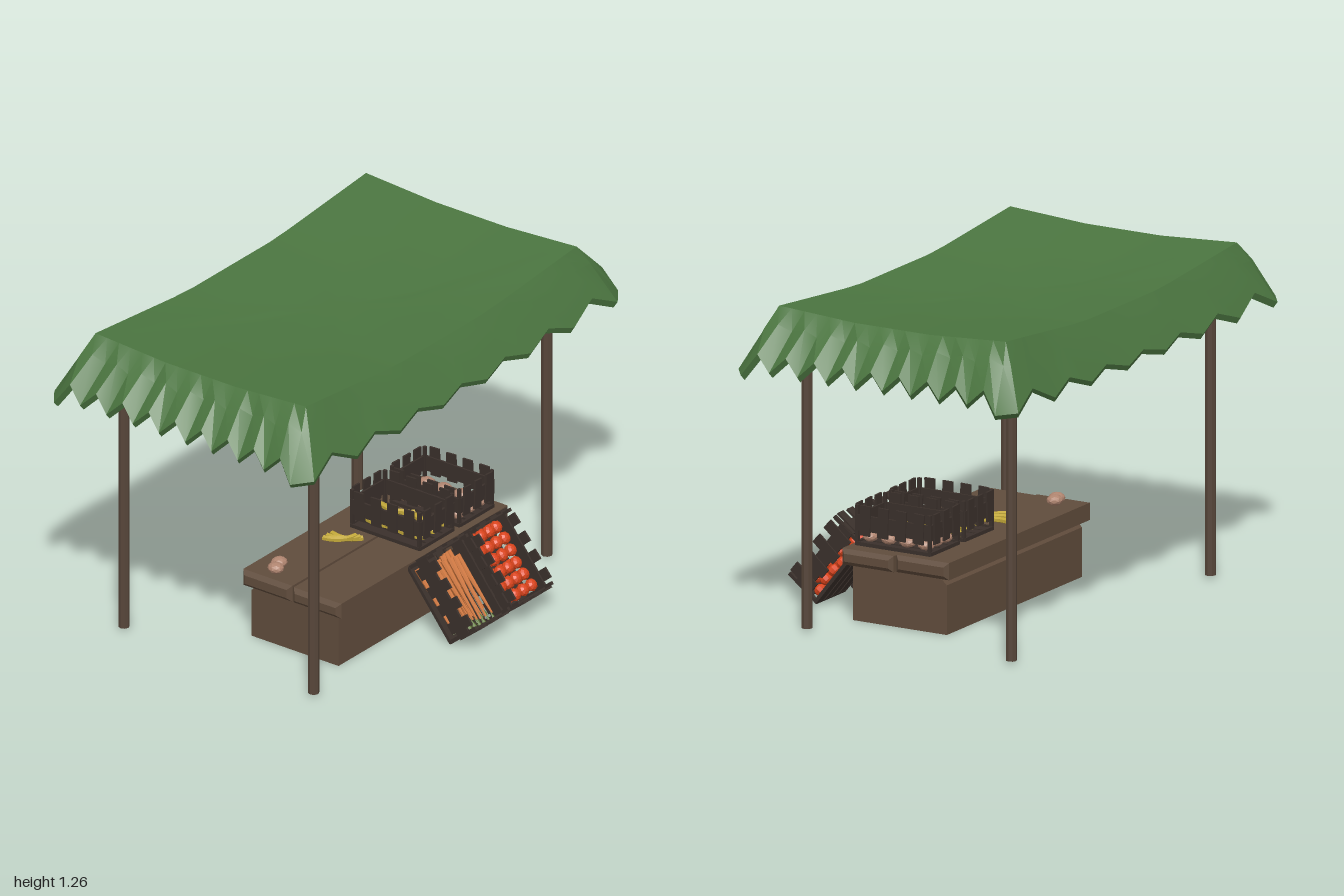
import * as THREE from 'three';
import { toCreasedNormals } from 'three/addons/utils/BufferGeometryUtils.js';

const mat = (color, opts = {}) => {
  const m = new THREE.MeshStandardMaterial({ color, flatShading: true, ...opts });
  return m;
};
const M = {
  cloth: mat(0x4b7540, { flatShading: false, side: THREE.DoubleSide }),
  post: mat(0x57463a), wood: mat(0x604c3c), base: mat(0x604c3c, { side: THREE.DoubleSide }), crate: mat(0x3a302b),
  tomato: mat(0xd9431b), carrot: mat(0xd0773d), leaf: mat(0x5f7a35),
  yellow: mat(0xc0a638), root: mat(0xb08570),
};

function add(parent, name, geo, material, x = 0, y = 0, z = 0) {
  const m = new THREE.Mesh(geo, material);
  m.name = name;
  m.position.set(x, y, z);
  parent.add(m);
  return m;
}
const box = (w, h, d) => new THREE.BoxGeometry(w, h, d);
const wobble = (i) => Math.sin(i * 12.9898 + 1.7); // repeatable variation

// Canopy: closed loops running from the sagging top, over the pleated skirt and back underneath
function canopyGeometry() {
  const HX = 0.49, HZ = 0.82, CX = -0.055;
  const g = (t) => Math.max(0, Math.abs(t) - 1 / 3) * 1.5;
  const topY = (u, v) => 1.19 + 0.02 * g(u) + 0.05 * g(v);
  const rim = [];
  for (let s = 0; s < 4; s++) {
    const front = s % 2 === 0, n = front ? 18 : 14, sign = s < 2 ? 1 : -1;
    for (let i = 0; i <= n; i++) {
      const t = (2 * i / n - 1) * sign, low = i % 2 === 0, end = i === 0 || i === n;
      const out = low ? 0 : -0.018;
      const u = front ? t : sign, v = front ? sign : -t;
      const x = front ? t * 0.55 : sign * (0.605 + out);
      const z = front ? sign * (0.995 + out) : -t * 0.92;
      const y = end ? 1.005 : front ? (low ? 1.03 : 1.09) : (low ? 1.005 : 1.035 + 0.045 * t * t);
      const crease = i % 4 === 2 ? -0.012 : 0;
      rim.push({ u, v, x, y, z, crease, front, sign });
    }
  }
  const top = (s, drop) => (p) => [s * p.u * HX, topY(s * p.u, s * p.v) - drop, s * p.v * HZ];
  const mid = (k, drop) => (p) => {
    const a = top(1, 0)(p), f = 0.4;
    const c = p.crease * p.sign;
    return [k * (a[0] + (p.x - a[0]) * f + (p.front ? 0 : c)),
      a[1] + (p.y - a[1]) * 0.3 - drop,
      k * (a[2] + (p.z - a[2]) * f + (p.front ? c : 0))];
  };
  const hem = (k, lift) => (p) => [p.x * k, p.y + lift, p.z * k];
  const rings = [top(0, 0), top(1 / 3, 0), top(2 / 3, 0), top(1, 0), mid(1, 0), hem(1, 0.02), hem(0.985, 0),
    mid(0.965, 0.02), top(0.96, 0.03), top(1 / 3, 0.02), top(0, 0.02)];
  const pos = [], idx = [], N = rim.length;
  rings.forEach((f) => rim.forEach((p) => {
    const [x, y, z] = f(p);
    pos.push(x + CX, y, z);
  }));
  for (let r = 0; r < rings.length - 1; r++) for (let i = 0; i < N; i++) {
    const a = r * N + i, b = r * N + (i + 1) % N, c = b + N, d = a + N;
    idx.push(a, d, c, a, c, b);
  }
  const geo = new THREE.BufferGeometry();
  geo.setAttribute('position', new THREE.Float32BufferAttribute(pos, 3));
  geo.setIndex(idx);
  return toCreasedNormals(geo, 0.3);
}

// Counter base: hollow box, open underneath, with one chamfered top edge
function baseGeometry() {
  const geo = new THREE.BoxGeometry(0.405, 0.22, 0.96, 1, 2, 1);
  const p = geo.attributes.position, n = geo.attributes.normal;
  for (let i = 0; i < p.count; i++) {
    if (Math.abs(p.getY(i)) < 0.01) p.setY(i, 0.08);
    if (p.getY(i) > 0.1 && p.getX(i) < 0) p.setX(i, -0.17);
  }
  const src = Array.from(geo.index.array);
  geo.setIndex(src.filter((v, k) => n.getY(src[k - k % 3]) > -0.5));
  geo.clearGroups();
  return geo;
}

// Bevelled plank lying along z
function plankGeometry(w, h, d) {
  const b = 0.016, x = w / 2 - b, y = h / 2 - b;
  const s = new THREE.Shape([[-x, -y], [x, -y], [x, y], [-x, y]].map((p) => new THREE.Vector2(...p)));
  const geo = new THREE.ExtrudeGeometry(s, { depth: d - 2 * b, bevelSize: b, bevelThickness: b, bevelSegments: 1 });
  return geo.translate(0, 0, -d / 2 + b);
}

// Crate: corner posts, a band round the sides, upright pickets and a slatted floor
function crate(name) {
  const c = new THREE.Group(), L = 0.32, W = 0.205;
  c.name = name;
  for (const sx of [-1, 1]) for (const sz of [-1, 1])
    add(c, 'cornerPost', box(0.013, 0.155, 0.013), M.crate, sx * (L / 2 - 0.004), 0.078, sz * (W / 2 - 0.004));
  for (const s of [-1, 1]) {
    add(c, 'longBand', box(L, 0.06, 0.009), M.crate, 0, 0.088, s * W / 2);
    add(c, 'shortBand', box(0.009, 0.06, W), M.crate, s * L / 2, 0.088, 0);
    add(c, 'longRail', box(L, 0.014, 0.01), M.crate, 0, 0.008, s * W / 2);
    add(c, 'shortRail', box(0.01, 0.014, W), M.crate, s * L / 2, 0.008, 0);
    for (let i = 0; i < 4; i++) {
      const m = add(c, 'longPicket', box(0.044, 0.115, 0.008), M.crate, -0.115 + i * 0.077, 0.1, s * (W / 2 + 0.006));
      m.rotation.z = 0.05 * wobble(i + s);
    }
    for (let i = 0; i < 3; i++) {
      const m = add(c, 'shortPicket', box(0.008, 0.115, 0.04), M.crate, s * (L / 2 + 0.006), 0.1, -0.066 + i * 0.066);
      m.rotation.x = 0.05 * wobble(i + s + 5);
    }
  }
  for (let i = 0; i < 4; i++) add(c, 'floorSlat', box(L, 0.007, 0.04), M.crate, 0, 0.005, -0.076 + i * 0.0507);
  return c;
}

const tomatoGeo = new THREE.SphereGeometry(0.025, 9, 6).scale(1, 0.85, 1);
const carrotGeo = new THREE.CylinderGeometry(0.013, 0.004, 0.25, 7).rotateZ(Math.PI / 2);
const leafGeo = new THREE.ConeGeometry(0.009, 0.035, 5).rotateZ(Math.PI / 2);
const rootGeo = new THREE.IcosahedronGeometry(0.03, 1).scale(1, 0.7, 1.1);
const bananaGeo = new THREE.TubeGeometry(new THREE.QuadraticBezierCurve3(
  new THREE.Vector3(-0.06, 0, -0.01), new THREE.Vector3(0, 0, 0.035), new THREE.Vector3(0.06, 0, -0.01)), 6, 0.011, 6);

export function createModel() {
  const stall = new THREE.Group();
  stall.name = 'marketStall';

  // Canopy and its posts
  add(stall, 'canopy', canopyGeometry(), M.cloth);
  for (const x of [-0.503, 0.38]) for (const z of [0.702, -0.712])
    add(stall, 'post', new THREE.CylinderGeometry(0.021, 0.021, 1.19, 8), M.post, x, 0.605, z);

  // Counter
  add(stall, 'counterBase', baseGeometry(), M.base, 0.1075, 0.11, -0.02);
  add(stall, 'counterPlank', plankGeometry(0.228, 0.066, 1.03), M.wood, 0, 0.248, -0.015);
  add(stall, 'counterPlank', plankGeometry(0.222, 0.062, 1.04), M.wood, 0.231, 0.246, -0.02);

  // Two crates on the counter
  const bananas = crate('bananaCrate'), roots = crate('rootCrate');
  bananas.position.set(0.153, 0.281, -0.13);
  roots.position.set(0.153, 0.281, -0.372);
  for (let i = 0; i < 12; i++) {
    const b = add(bananas, 'banana', bananaGeo, M.yellow, (i % 2 - 0.5) * 0.15, 0.022 + (i % 4 > 1 ? 0.018 : 0), -0.08 + Math.floor(i / 2) * 0.03);
    b.rotation.y = 0.2 * wobble(i);
    const r = add(roots, 'root', rootGeo, M.root, -0.12 + (i % 4) * 0.08, 0.032, -0.064 + Math.floor(i / 4) * 0.064);
    r.rotation.y = 2 * wobble(i);
  }

  // Two crates leaning against the counter
  const carrots = crate('carrotCrate'), tomatoes = crate('tomatoCrate');
  [[carrots, -0.028], [tomatoes, -0.29]].forEach(([c, z]) => {
    c.position.set(0.433, 0.132, z);
    c.rotation.z = -0.9;
  });
  for (let layer = 0; layer < 3; layer++) for (let i = 0; i < 7; i++) {
    const y = 0.024 + layer * 0.029, z = -0.081 + i * 0.027, x = 0.015 * wobble(i + layer * 7);
    add(carrots, 'carrot', carrotGeo, M.carrot, x, y, z).rotation.y = 0.07 * wobble(i * 3 + layer);
    add(carrots, 'carrotLeaf', leafGeo, M.leaf, x + 0.135, y, z);
  }
  for (let layer = 0; layer < 2; layer++) for (let i = 0; i < 6; i++) for (let j = 0; j < 4; j++) {
    const k = i * 4 + j + layer * 24;
    add(tomatoes, 'tomato', tomatoGeo, M.tomato, -0.125 + i * 0.05, 0.034 + layer * 0.042 + 0.006 * wobble(k), -0.073 + j * 0.0487)
      .rotation.y = wobble(k);
  }
  stall.add(bananas, roots, carrots, tomatoes);

  // Loose produce on the counter
  add(stall, 'looseRoot', rootGeo, M.root, -0.02, 0.3, 0.39);
  add(stall, 'looseRoot', rootGeo, M.root, -0.005, 0.298, 0.43).rotation.y = 1.2;
  for (let i = 0; i < 3; i++)
    add(stall, 'looseBanana', bananaGeo, M.yellow, 0.04, 0.29 + i * 0.006, 0.06 + i * 0.02).rotation.y = 0.3 + i * 0.25;
  return stall;
}
